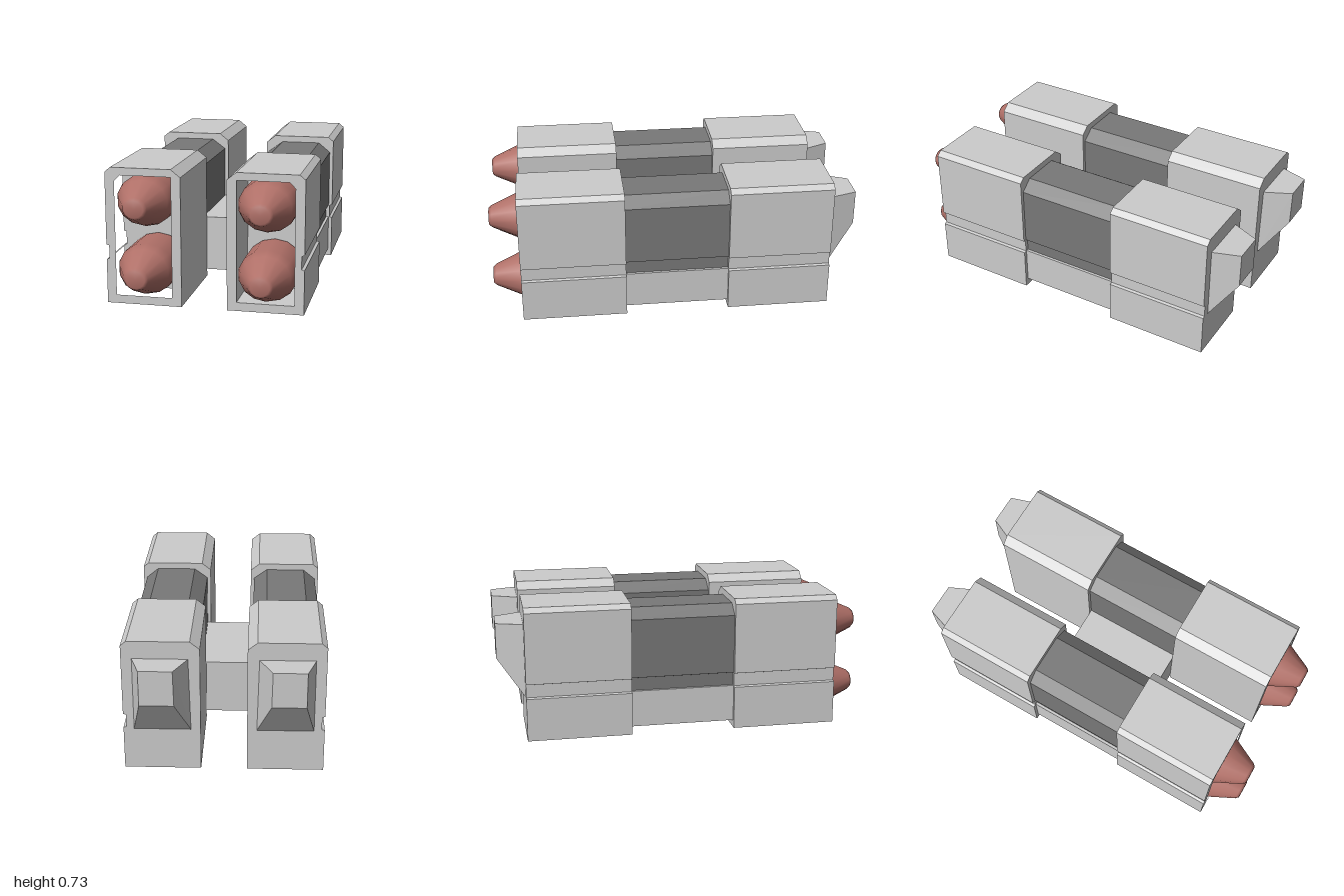
import * as THREE from 'three';
import { ConvexGeometry } from 'three/addons/geometries/ConvexGeometry.js';

const grey = new THREE.MeshStandardMaterial({ color: 0xcccccc, flatShading: true });
const dark = new THREE.MeshStandardMaterial({ color: 0x787878, flatShading: true });
const red = new THREE.MeshStandardMaterial({ color: 0xb07068 });

// Outlines of the +x side; the other side is mirrored
const POD = [[0.12, 0], [0.52, 0], [0.52, 0.235], [0.505, 0.24], [0.505, 0.31], [0.52, 0.315],
  [0.52, 0.7], [0.49, 0.725], [0.17, 0.725], [0.12, 0.685]];
const CAVITY = [[0.17, 0.045], [0.47, 0.045], [0.47, 0.655], [0.44, 0.685], [0.17, 0.685]];
const CASING = [[0.14, 0.2], [0.485, 0.2], [0.485, 0.31], [0.5, 0.315], [0.5, 0.635],
  [0.433, 0.69], [0.215, 0.69], [0.14, 0.635]];
const BASE = [[-0.5, 0.04], [0.5, 0.04], [0.5, 0.24], [0.14, 0.24], [0.14, 0.345],
  [-0.14, 0.345], [-0.14, 0.24], [-0.5, 0.24]];

const points = (list, side) => list.map(([x, y]) => new THREE.Vector2(x * side, y));

function prism(name, outline, side, z0, z1, material, hole) {
  const shape = new THREE.Shape(points(outline, side));
  if (hole) shape.holes.push(new THREE.Path(points(hole, side)));
  const geometry = new THREE.ExtrudeGeometry(shape, { depth: z1 - z0, bevelEnabled: false });
  geometry.translate(0, 0, z0);
  const mesh = new THREE.Mesh(geometry, material);
  mesh.name = name;
  return mesh;
}

// Blunt-nosed missile, slightly flattened in height
function missile(side, y) {
  const profile = [[0.154, 0.56], [0.154, 0.79], [0.134, 0.845], [0.065, 0.985], [0.05, 1], [0, 1]]
    .map(([r, z]) => new THREE.Vector2(r, z));
  const geometry = new THREE.LatheGeometry(profile, 14);
  geometry.rotateX(Math.PI / 2);
  geometry.scale(1, 0.89, 1);
  const mesh = new THREE.Mesh(geometry, red);
  mesh.name = 'missile';
  mesh.position.set(side * 0.32, y, 0);
  return mesh;
}

// Tapered exhaust block with a sloping underside
function exhaust(side) {
  const corners = [
    [0.18, 0.63, -0.855], [0.465, 0.63, -0.855], [0.17, 0.23, -0.855], [0.465, 0.23, -0.855],
    [0.247, 0.63, -1], [0.418, 0.63, -1], [0.243, 0.44, -1], [0.418, 0.44, -1],
  ].map(([x, y, z]) => new THREE.Vector3(x * side, y, z));
  const mesh = new THREE.Mesh(new ConvexGeometry(corners), grey);
  mesh.name = 'exhaust';
  return mesh;
}

export function createModel() {
  const model = new THREE.Group();
  model.name = 'missileLauncher';
  model.add(prism('base', BASE, 1, -0.29, 0.275, grey));

  for (const side of [1, -1]) {
    const pod = new THREE.Group();
    pod.name = side > 0 ? 'leftPod' : 'rightPod';
    pod.add(
      prism('frontShell', POD, side, 0.55, 0.845, grey, CAVITY),
      prism('frontBody', POD, side, 0.275, 0.55, grey),
      prism('middleCasing', CASING, side, -0.29, 0.275, dark),
      prism('rearBody', POD, side, -0.855, -0.29, grey),
      exhaust(side),
    );
    for (const y of [0.18, 0.547]) pod.add(missile(side, y));
    model.add(pod);
  }
  return model;
}
